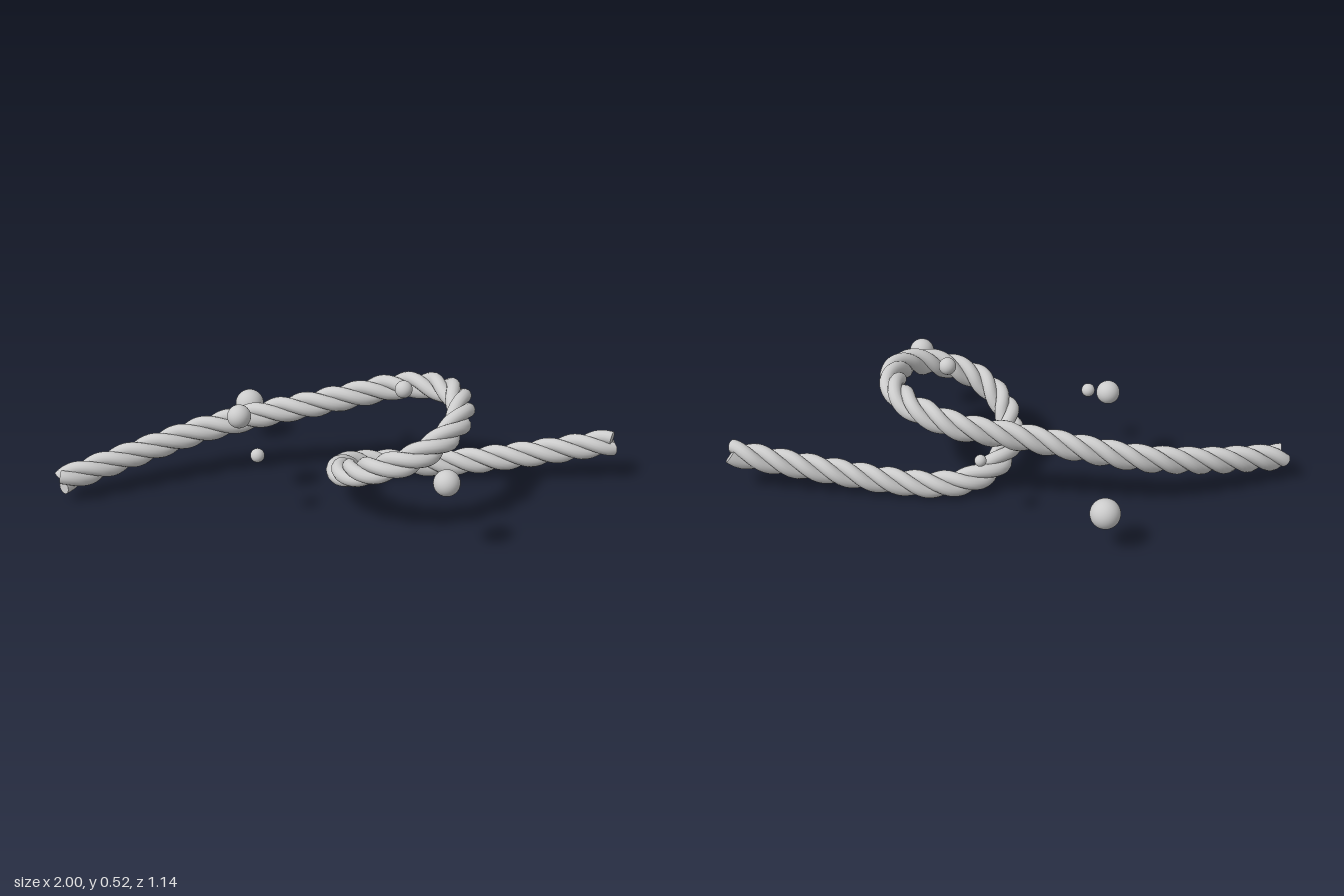
import * as THREE from 'three';

const UP = new THREE.Vector3(0, 1, 0);
const TURNS = 12, STRANDS = 3, STRAND_RADIUS = 0.027, TWIST_RADIUS = 0.028;

// Centre line of the rope: long tail, one loop, short tail
const PATH = [
  [-0.96, 0.09, 0.53], [-0.72, 0.155, 0.27], [-0.53, 0.21, 0.1], [-0.32, 0.265, -0.02],
  [-0.15, 0.305, -0.1], [0, 0.34, -0.18], [0.1, 0.365, -0.23], [0.2, 0.39, -0.25],
  [0.31, 0.41, -0.24], [0.42, 0.425, -0.17], [0.49, 0.415, -0.03], [0.48, 0.385, 0.1],
  [0.4, 0.335, 0.21], [0.27, 0.28, 0.255], [0.13, 0.21, 0.21], [0.045, 0.145, 0.09],
  [0.04, 0.1, -0.04], [0.1, 0.068, -0.14], [0.2, 0.056, -0.21], [0.36, 0.06, -0.275],
  [0.6, 0.095, -0.37], [0.97, 0.165, -0.525],
].map((p) => new THREE.Vector3(...p));

// One strand winding around the centre line
class StrandCurve extends THREE.Curve {
  constructor(centre, phase) {
    super();
    this.centre = centre;
    this.phase = phase;
    this.arcLengthDivisions = 1200;
  }

  getPoint(t, target = new THREE.Vector3()) {
    const tangent = this.centre.getTangentAt(t);
    const side = UP.clone().cross(tangent).normalize();
    const rise = tangent.clone().cross(side);
    const angle = this.phase + t * TURNS * Math.PI * 2;
    return target.copy(this.centre.getPointAt(t))
      .addScaledVector(side, Math.cos(angle) * TWIST_RADIUS)
      .addScaledVector(rise, Math.sin(angle) * TWIST_RADIUS);
  }
}

export function createModel() {
  const model = new THREE.Group();
  model.name = 'loopedRope';
  const material = new THREE.MeshStandardMaterial({ color: 0xcccccc, side: THREE.DoubleSide });

  // Twisted rope
  const rope = new THREE.Group();
  rope.name = 'rope';
  const centre = new THREE.CatmullRomCurve3(PATH);
  centre.arcLengthDivisions = 800;
  for (let i = 0; i < STRANDS; i++) {
    const curve = new StrandCurve(centre, (i / STRANDS) * Math.PI * 2);
    const strand = new THREE.Mesh(new THREE.TubeGeometry(curve, 500, STRAND_RADIUS, 14), material);
    strand.name = `strand${i + 1}`;
    rope.add(strand);
    // Flat cut at both ends
    for (const t of [0, 1]) {
      const cap = new THREE.Mesh(new THREE.CircleGeometry(STRAND_RADIUS, 14), material);
      cap.name = 'strandEnd';
      cap.position.copy(curve.getPointAt(t));
      cap.lookAt(cap.position.clone().addScaledVector(curve.getTangentAt(t), t ? 1 : -1));
      rope.add(cap);
    }
  }
  model.add(rope);

  // Floating beads around the rope: x, y, z, radius
  const beads = new THREE.Group();
  beads.name = 'beads';
  [
    [-0.52, 0.163, -0.245, 0.059],
    [-0.313, 0.375, 0.243, 0.046],
    [0.26, 0.485, -0.025, 0.034],
    [0.563, 0.315, 0.303, 0.05],
    [-0.18, 0.29, 0.355, 0.027],
    [-0.027, 0.29, -0.303, 0.023],
  ].forEach(([x, y, z, radius], i) => {
    const bead = new THREE.Mesh(new THREE.SphereGeometry(radius, 32, 20), material);
    bead.name = `bead${i + 1}`;
    bead.position.set(x, y, z);
    beads.add(bead);
  });
  model.add(beads);

  return model;
}
